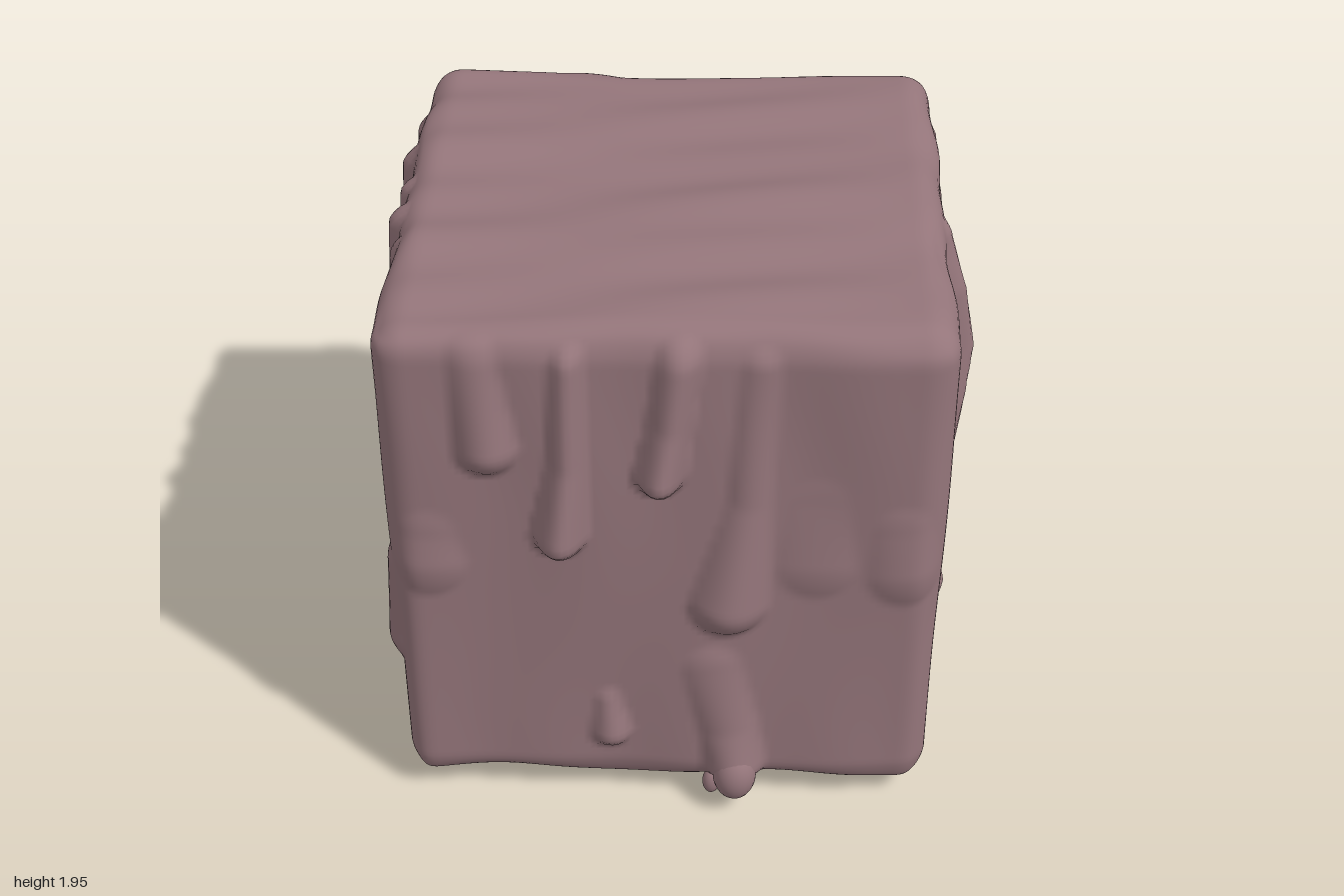
import * as THREE from 'three';
import { mergeVertices } from 'three/addons/utils/BufferGeometryUtils.js';

const CENTER = new THREE.Vector3(-0.035, 1.01, -0.015);
const HALF = new THREE.Vector3(0.9, 0.92, 0.895);
const RADIUS = 0.11;

// Each drip is a chain of [across, y, radius, thickness] points on one side face.
const DRIPS = {
  front: [
    [[-0.62, 1.86, 0.07, 0.02], [-0.59, 1.5, 0.1, 0.07]],
    [[-0.33, 1.84, 0.05, 0.04], [-0.34, 1.45, 0.06, 0.06], [-0.37, 1.18, 0.09, 0.11]],
    [[0.01, 1.84, 0.07, 0.05], [-0.02, 1.6, 0.07, 0.07], [-0.05, 1.42, 0.08, 0.11]],
    [[0.26, 1.82, 0.06, 0.02], [0.23, 1.3, 0.07, 0.03], [0.17, 0.9, 0.13, 0.08]],
    [[-0.8, 1.15, 0.1, 0.01], [-0.8, 1.04, 0.13, 0.025]],
    [[0.72, 1.2, 0.1, 0.01], [0.74, 1.03, 0.13, 0.025]],
    [[0.45, 1.3, 0.1, 0.005], [0.45, 1.05, 0.13, 0.02]],
    [[-0.23, 0.47, 0.04, 0.02], [-0.22, 0.32, 0.07, 0.05]],
    [[0.12, 0.62, 0.1, 0.02], [0.18, 0.35, 0.1, 0.04], [0.2, 0.18, 0.1, 0.08]],
  ],
  right: [
    [[0.07, 1.82, 0.05, 0.02], [0.08, 1.62, 0.07, 0.08], [0.06, 1.38, 0.09, 0.125],
      [0.11, 1.18, 0.06, 0.1], [0.09, 1.01, 0.1, 0.08]],
    [[-0.32, 1.72, 0.06, 0.01], [-0.36, 1.35, 0.09, 0.07]],
    [[-0.63, 1.18, 0.07, 0.07], [-0.62, 0.99, 0.08, 0.08]],
    [[0.3, 0.68, 0.07, 0.03], [0.3, 0.54, 0.09, 0.065], [0.31, 0.4, 0.09, 0.03]],
    [[-0.75, 1.73, 0.06, 0.03], [-0.75, 1.71, 0.06, 0.03]],
  ],
  back: [
    [[0.02, 1.84, 0.06, 0.05], [0.02, 1.3, 0.06, 0.08], [0.02, 0.75, 0.06, 0.05],
      [0.01, 0.58, 0.09, 0.1], [0.02, 0.35, 0.08, 0.09], [0.02, 0.16, 0.09, 0.09]],
    [[0.22, 1.84, 0.06, 0.04], [0.22, 1.4, 0.07, 0.06], [0.22, 1.07, 0.1, 0.09]],
    [[0.48, 1.3, 0.09, 0.05], [0.47, 1.09, 0.1, 0.08]],
    [[0.6, 1.75, 0.07, 0.04], [0.6, 1.73, 0.07, 0.04]],
    [[-0.35, 1.86, 0.12, 0.02], [-0.35, 1.6, 0.1, 0.02]],
    [[-0.3, 0.62, 0.08, 0.03], [-0.3, 0.55, 0.09, 0.03]],
  ],
  left: [
    [[-0.62, 1.8, 0.06, 0.03], [-0.6, 1.4, 0.08, 0.07], [-0.61, 0.98, 0.1, 0.06]],
    [[-0.35, 1.82, 0.06, 0.04], [-0.34, 1.28, 0.1, 0.07]],
    [[-0.13, 1.84, 0.05, 0.03], [-0.13, 1.48, 0.08, 0.06]],
    [[0.07, 1.84, 0.06, 0.04], [0.07, 1.2, 0.09, 0.07]],
    [[0.27, 1.84, 0.05, 0.02], [0.27, 1.1, 0.08, 0.04]],
    [[-0.15, 0.68, 0.07, 0.03], [-0.16, 0.22, 0.1, 0.06]],
    [[0.74, 0.95, 0.08, 0.02], [0.74, 0.65, 0.1, 0.045]],
  ],
};

function dripHeight(chains, u, v) {
  let best = 0;
  for (const chain of chains) {
    for (let i = 0; i + 1 < chain.length; i++) {
      const a = chain[i], b = chain[i + 1];
      const du = b[0] - a[0], dv = b[1] - a[1];
      const t = THREE.MathUtils.clamp(((u - a[0]) * du + (v - a[1]) * dv) / (du * du + dv * dv), 0, 1);
      const d = Math.hypot(u - a[0] - du * t, v - a[1] - dv * t) / THREE.MathUtils.lerp(a[2], b[2], t);
      if (d < 1) best = Math.max(best, THREE.MathUtils.lerp(a[3], b[3], t) * (1 - d * d));
    }
  }
  return best;
}

// Gentle streaks that run along x over the top
const topWave = (x, z) =>
  0.01 * Math.sin(9 * z + 1.5 * Math.sin(2 * x)) +
  0.008 * Math.sin(21 * z + 2.5 * x) * Math.sin(3 * x + 1) +
  0.008 * Math.sin(4 * x + 2 * z);

// Soft wobble of the sides
const sideWave = (u, y) => 0.006 * Math.sin(5 * u + 2 * y) + 0.005 * Math.sin(13 * u + Math.sin(4 * y));

function cubeGeometry() {
  const N = 90;
  let geo = new THREE.BoxGeometry(2 * HALF.x, 2 * HALF.y, 2 * HALF.z, N, N, N);
  geo.deleteAttribute('uv');
  geo.deleteAttribute('normal');
  geo = mergeVertices(geo, 1e-4);
  const pos = geo.attributes.position;
  const p = new THREE.Vector3(), n = new THREE.Vector3();
  const inner = HALF.clone().subScalar(RADIUS), low = inner.clone().negate();
  const facing = (c) => THREE.MathUtils.smoothstep(c, 0.2, 0.75);
  for (let i = 0; i < pos.count; i++) {
    // Round the edges
    p.fromBufferAttribute(pos, i);
    n.copy(p);
    p.clamp(low, inner);
    n.sub(p).normalize();
    p.addScaledVector(n, RADIUS).add(CENTER);
    // Push out drips and waves
    const { x, y, z } = p;
    const side = (name, c, u) => facing(c) * (dripHeight(DRIPS[name], u, y) + sideWave(u, y));
    p.x += side('right', n.x, z) - side('left', -n.x, z);
    p.z += side('front', n.z, x) - side('back', -n.z, x);
    p.y += facing(n.y) * topWave(x, z);
    p.y -= facing(-n.y) * (0.012 * Math.sin(7 * x + 3 * z) + 0.008 * Math.sin(17 * z));
    pos.setXYZ(i, p.x, p.y, p.z);
  }
  geo.computeVertexNormals();
  return geo;
}

export function createModel() {
  const group = new THREE.Group();
  const slime = new THREE.MeshStandardMaterial({ color: 0x94757a });
  slime.name = 'mauve slime';

  const body = new THREE.Mesh(cubeGeometry(), slime);
  body.name = 'slimeCube';
  group.add(body);

  // Blobs hanging under the lower edges: centre, then radii
  const blobs = [
    ['frontDripEnd', 0.2, 0.16, 0.9, 0.075, 0.1, 0.08],
    ['frontDripTip', 0.12, 0.08, 0.86, 0.03, 0.05, 0.03],
    ['backDripEnd', 0.02, 0.14, -0.88, 0.07, 0.1, 0.08],
    ['rearPuddle', -0.57, 0.07, -0.7, 0.12, 0.065, 0.12],
    ['rearPuddle', -0.72, 0.09, -0.55, 0.12, 0.05, 0.14],
    ['leftDripEnd', -0.85, 0.12, -0.14, 0.09, 0.07, 0.08],
    ['cornerFlake', 0.72, 0.08, 0.6, 0.1, 0.04, 0.06],
    ['cornerFlake', 0.56, 0.08, 0.74, 0.1, 0.025, 0.05],
  ];
  const sphere = new THREE.SphereGeometry(1, 24, 16);
  for (const [name, x, y, z, rx, ry, rz] of blobs) {
    const blob = new THREE.Mesh(sphere, slime);
    blob.name = name;
    blob.position.set(x, y, z);
    blob.scale.set(rx, ry, rz);
    group.add(blob);
  }
  return group;
}
